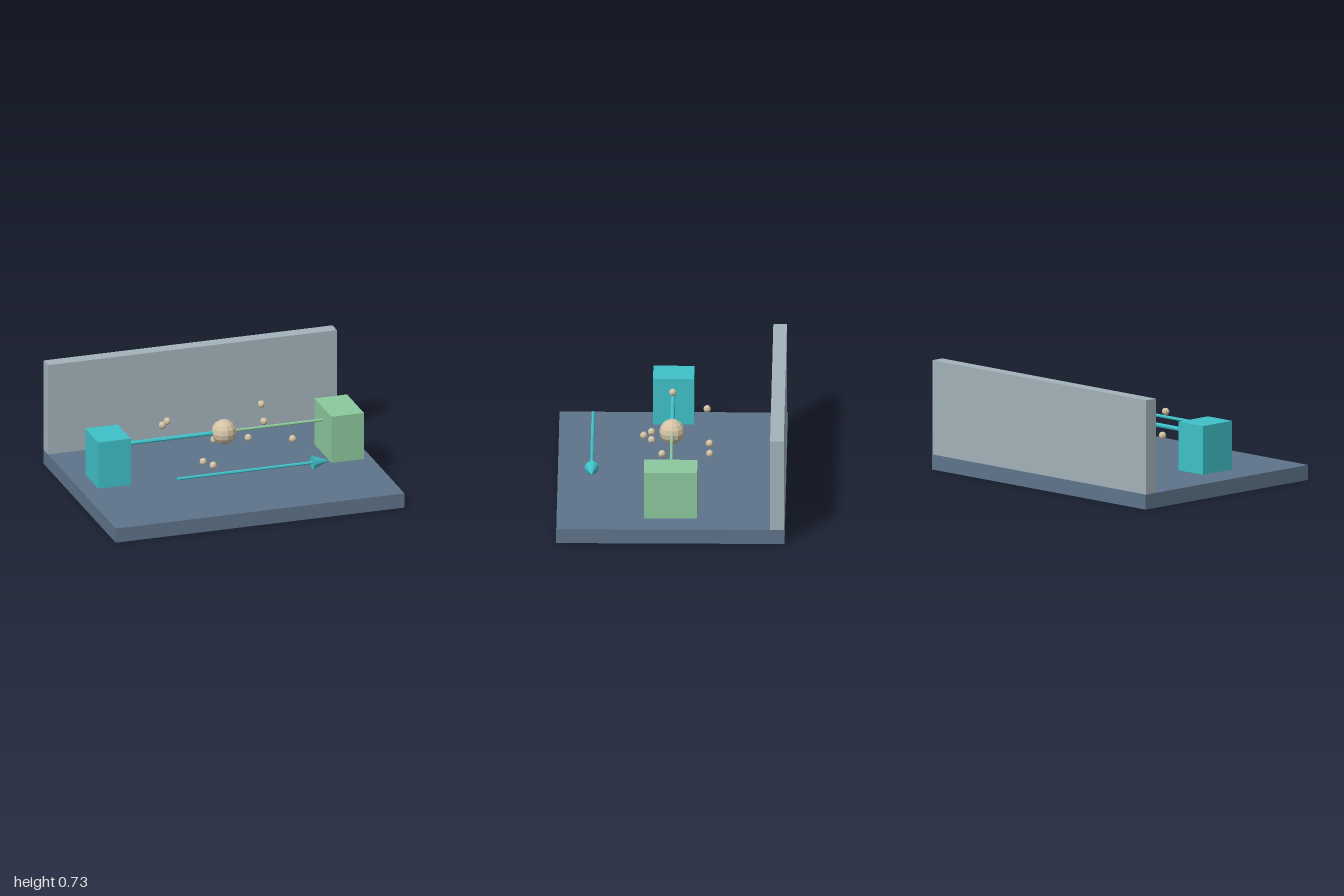
import * as THREE from 'three';

const mat = (name, color, flatShading = false) => {
  const m = new THREE.MeshStandardMaterial({ color, flatShading });
  m.name = name;
  return m;
};

export function createModel() {
  const group = new THREE.Group();
  const slate = mat('slate blue', 0x5f748b, true);
  const grey = mat('pale grey', 0xa3b3ba, true);
  const cyan = mat('cyan', 0x3fc1c9, true);
  const green = mat('soft green', 0x8cc99e, true);
  const sand = mat('sand', 0xd4c3a5, true);

  const add = (name, geometry, material, x, y, z) => {
    const mesh = new THREE.Mesh(geometry, material);
    mesh.name = name;
    mesh.position.set(x, y, z);
    group.add(mesh);
    return mesh;
  };
  const box = (name, material, size, pos) =>
    add(name, new THREE.BoxGeometry(...size), material, ...pos);
  // Cylinder or cone lying along x, from x0 to x1
  const bar = (name, material, x0, x1, y, z, r0, r1, sides) => {
    const geo = new THREE.CylinderGeometry(r1, r0, x1 - x0, sides).rotateZ(-Math.PI / 2);
    return add(name, geo, material, (x0 + x1) / 2, y, z);
  };

  // Base slab and back wall
  box('base', slate, [2, 0.1, 1.5], [0, 0.05, 0]);
  box('backWall', grey, [2, 0.63, 0.09], [0, 0.415, -0.7]);

  // End blocks
  box('rightBlock', cyan, [0.225, 0.325, 0.27], [-0.802, 0.303, -0.003]);
  box('leftBlock', green, [0.225, 0.325, 0.35], [0.798, 0.303, 0]);

  // Rods from the blocks to the central ball
  bar('rightRod', cyan, -0.7, 0, 0.38, 0, 0.015, 0.015, 8);
  bar('leftRod', green, 0, 0.7, 0.38, 0, 0.01, 0.01, 8);
  add('centralBall', new THREE.SphereGeometry(0.084, 12, 8), sand, 0, 0.38, 0);

  // Direction arrow
  bar('arrowShaft', cyan, -0.5, 0.45, 0.303, 0.523, 0.011, 0.011, 8);
  bar('arrowHead', cyan, 0.437, 0.557, 0.303, 0.523, 0.048, 0, 10);

  // Scattered particles, evenly spaced in x: [y, z]
  const particles = [
    [0.48, 0], [0.41, -0.228], [0.265, 0.188], [0.18, 0.067], [0.23, -0.248],
    [0.372, 0.133], [0.475, 0.132], [0.44, -0.25], [0.3, 0.067],
  ];
  const particleGeo = new THREE.SphereGeometry(0.025, 8, 6);
  particles.forEach(([y, z], i) =>
    add(`particle${i + 1}`, particleGeo, sand, -0.427 + i * 0.11, y, z));

  return group;
}
